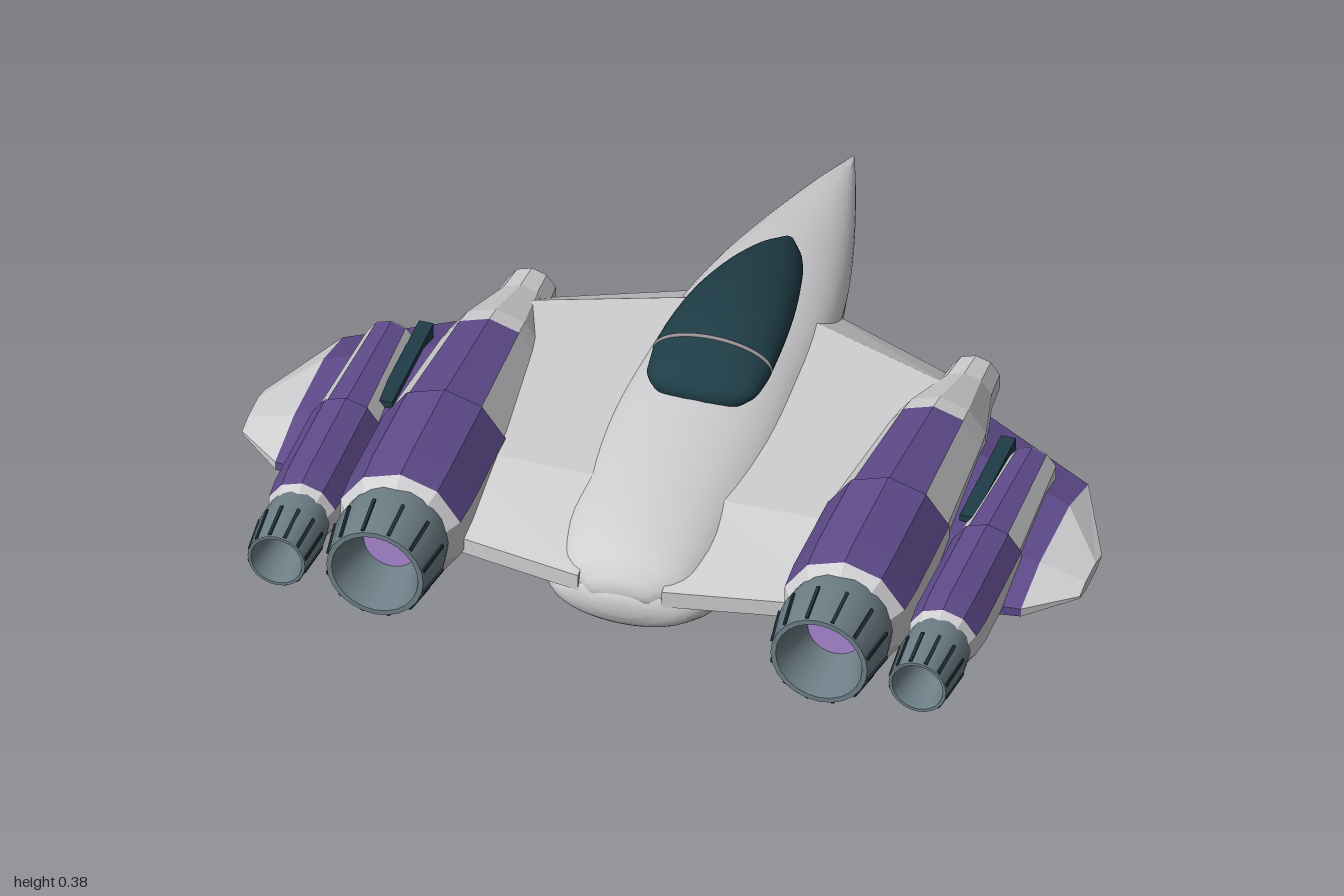
import * as THREE from 'three';
import { toCreasedNormals } from 'three/addons/utils/BufferGeometryUtils.js';

const mat = (name, color) => Object.assign(new THREE.MeshStandardMaterial({ color }), { name });

export function createModel() {
  const model = new THREE.Group();
  model.name = 'spaceFighter';
  const hull = mat('hullGrey', 0xd0cfd2), purple = mat('panelPurple', 0x5f4b8b);
  const glass = mat('darkTeal', 0x1f3d47), steel = mat('nozzleSteel', 0x6e7f87);
  const glow = mat('exhaustLilac', 0xa986cf), dark = mat('slotDark', 0x22313a);
  const trim = mat('frameGrey', 0x9a9496);

  const add = (name, geo, material, parent = model) => {
    const m = new THREE.Mesh(geo, material);
    m.name = name;
    parent.add(m);
    return m;
  };

  // Skin a row of rings; pick(i, j) gives the material of each side face
  function loft(name, rings, pick, { start = hull, end = hull, crease = 0.01, parent = model } = {}) {
    const n = rings[0].length, pos = rings.flat(2), buckets = new Map();
    const tri = (m, ...ids) => {
      if (!buckets.has(m)) buckets.set(m, []);
      buckets.get(m).push(...ids);
    };
    for (let i = 0; i < rings.length - 1; i++) for (let j = 0; j < n; j++) {
      const a = i * n + j, b = i * n + (j + 1) % n, m = pick(i, j);
      tri(m, a, b, b + n, a, b + n, a + n);
    }
    [[0, start], [rings.length - 1, end]].forEach(([i, m]) => {
      const c = pos.length / 3;
      for (let k = 0; k < 3; k++) pos.push(rings[i].reduce((s, p) => s + p[k], 0) / n);
      for (let j = 0; j < n; j++) {
        const a = i * n + j, b = i * n + (j + 1) % n;
        if (i === 0) tri(m, c, b, a); else tri(m, c, a, b);
      }
    });
    const geo = new THREE.BufferGeometry(), index = [];
    geo.setAttribute('position', new THREE.Float32BufferAttribute(pos, 3));
    [...buckets.values()].forEach((ids, k) => {
      geo.addGroup(index.length, ids.length, k);
      index.push(...ids);
    });
    geo.setIndex(index);
    return add(name, toCreasedNormals(geo, crease), [...buckets.keys()], parent);
  }

  const ring = (z, rx, ry, cy, n) => Array.from({ length: n }, (_, j) => {
    const a = Math.PI / 2 + j / n * Math.PI * 2;
    return [Math.cos(a) * rx, cy + Math.sin(a) * ry, z];
  });

  // Smooth body from stations [z, half width, bottom, top]
  function body(name, stations, material) {
    const curve = new THREE.CubicInterpolant(stations.map(s => s[0]), stations.flatMap(s => s.slice(1)), 3);
    const rings = [];
    stations.forEach(([z], i) => {
      const next = stations[i + 1];
      for (let k = 0; k < (next ? 4 : 1); k++) {
        const zz = next ? z + (next[0] - z) * k / 4 : z;
        const [w, b, t] = curve.evaluate(zz);
        rings.push(ring(zz, w, (t - b) / 2, (t + b) / 2, 36));
      }
    });
    return loft(name, rings, () => material, { start: material, end: material, crease: 0.9 });
  }

  // Fuselage
  body('upperFuselage', [
    [-0.95, 0.004, 0.12, 0.13], [-0.8, 0.055, 0.1, 0.175], [-0.6, 0.115, 0.08, 0.222],
    [-0.4, 0.163, 0.07, 0.262], [-0.2, 0.19, 0.08, 0.285], [0, 0.2, 0.08, 0.297],
    [0.25, 0.21, 0.08, 0.295], [0.5, 0.2, 0.07, 0.28], [0.68, 0.175, 0.07, 0.25],
    [0.75, 0.135, 0.09, 0.22], [0.785, 0.07, 0.12, 0.18]], hull);
  body('lowerFuselage', [
    [-0.9, 0.012, 0.113, 0.135], [-0.7, 0.082, 0.077, 0.17], [-0.4, 0.155, 0.038, 0.18],
    [0, 0.205, 0.008, 0.18], [0.3, 0.228, 0, 0.18], [0.5, 0.233, 0.01, 0.18],
    [0.65, 0.217, 0.027, 0.18], [0.74, 0.18, 0.043, 0.175], [0.775, 0.13, 0.06, 0.165],
    [0.79, 0.06, 0.09, 0.14]], hull);

  // Canopy and its frame arch
  body('canopy', [
    [-0.47, 0.012, 0.238, 0.255], [-0.4, 0.055, 0.22, 0.292], [-0.25, 0.1, 0.23, 0.345],
    [-0.1, 0.127, 0.24, 0.376], [0.05, 0.14, 0.25, 0.38], [0.13, 0.138, 0.25, 0.365],
    [0.19, 0.12, 0.26, 0.347], [0.215, 0.085, 0.27, 0.335], [0.225, 0.04, 0.29, 0.32]], glass);
  const arch = Array.from({ length: 13 }, (_, i) => {
    const a = Math.PI * i / 12;
    return new THREE.Vector3(0.139 * Math.cos(a), 0.312 + 0.063 * Math.sin(a), 0.09);
  });
  add('canopyFrame', new THREE.TubeGeometry(new THREE.CatmullRomCurve3(arch), 30, 0.005, 6), trim);

  // Wing from stations [x, leading z, trailing z, y, half thickness]; side is 1 or -1
  function wing(name, side, stations, front, back, pick) {
    const rings = stations.map(([x, zl, zt, y, t]) => {
      const at = (f, dy) => [side * x, y + dy, zl + (zt - zl) * f];
      return [at(front, t), at(back, t), at(1, t * 0.25), at(1, -t * 0.25),
        at(back, -t), at(front, -t), at(0, 0)];
    });
    if (side < 0) rings.reverse();
    const last = stations.length - 2;
    loft(name, rings, i => pick(side < 0 ? last - i : i));
  }

  // Engine pod from stations [z, radius, centre y], with painted top panels
  function pod(name, x, stations, r, cy) {
    const group = new THREE.Group();
    group.name = name;
    group.position.x = x;
    model.add(group);
    const paint = (i, j) => {
      const z = (stations[i][0] + stations[i + 1][0]) / 2;
      const fromTop = Math.min(j, 9 - j);
      return z > 0.1 && z < 0.76 && fromTop < (z < 0.43 ? 1 : 2) ? purple : hull;
    };
    loft('podShell', stations.map(([z, q, y]) => ring(z, q, q, y, 10)), paint, { parent: group });

    // Intake face
    const [z0, r0, y0] = stations[0];
    const intake = add('intake', new THREE.CylinderGeometry(r0 * 0.85, r0 * 0.85, 0.006, 20), glass, group);
    intake.rotation.x = Math.PI / 2;
    intake.position.set(0, y0, z0 - 0.001);

    // Open nozzle with glowing core
    const profile = [[0.77, 0.8], [0.84, 0.87], [0.95, 0.76], [0.95, 0.68], [0.83, 0.43]];
    loft('nozzle', profile.map(([z, k]) => ring(z, k * r, k * r, cy, 24)), () => steel,
      { start: steel, end: glow, crease: 0.4, parent: group });

    // Slots around the nozzle
    for (let i = 0; i < 12; i++) {
      const a = (i + 0.5) / 12 * Math.PI * 2;
      const arm = new THREE.Group();
      arm.name = 'nozzleSlot';
      arm.position.set(0, cy, 0.895);
      arm.rotation.z = a;
      const slot = add('slot', new THREE.BoxGeometry(0.008, r * 0.06, 0.1), dark, arm);
      slot.position.y = r * 0.815;
      slot.rotation.x = Math.atan2(0.11 * r, 0.11);
      group.add(arm);
    }
  }

  for (const s of [1, -1]) {
    wing('innerWing', s, [[0.1, -0.37, 0.78, 0.155, 0.085], [0.5, -0.19, 0.72, 0.165, 0.08]],
      0.13, 0.75, () => hull);
    wing('outerWing', s, [[0.52, -0.14, 0.62, 0.155, 0.07], [0.62, -0.085, 0.61, 0.155, 0.065],
      [0.89, 0.07, 0.57, 0.15, 0.042], [1, 0.31, 0.475, 0.15, 0.012]],
      0.28, 0.72, i => (i < 2 ? purple : hull));
    pod('mainEngine', s * 0.53, [[-0.215, 0.06, 0.165], [-0.13, 0.068, 0.17], [0.05, 0.115, 0.187],
      [0.1, 0.121, 0.19], [0.43, 0.147, 0.2], [0.431, 0.152, 0.2], [0.68, 0.155, 0.2],
      [0.76, 0.15, 0.2], [0.8, 0.125, 0.2]], 0.152, 0.205);
    pod('outerEngine', s * 0.765, [[0.095, 0.058, 0.188], [0.1, 0.06, 0.188], [0.43, 0.08, 0.186],
      [0.431, 0.086, 0.186], [0.7, 0.088, 0.186], [0.76, 0.083, 0.186], [0.8, 0.07, 0.186]], 0.09, 0.186);

    // Dark fairing between the two engines
    const link = add('engineLink', new THREE.BoxGeometry(0.035, 0.05, 0.31), glass);
    link.position.set(s * 0.695, 0.205, 0.21);
  }
  return model;
}
